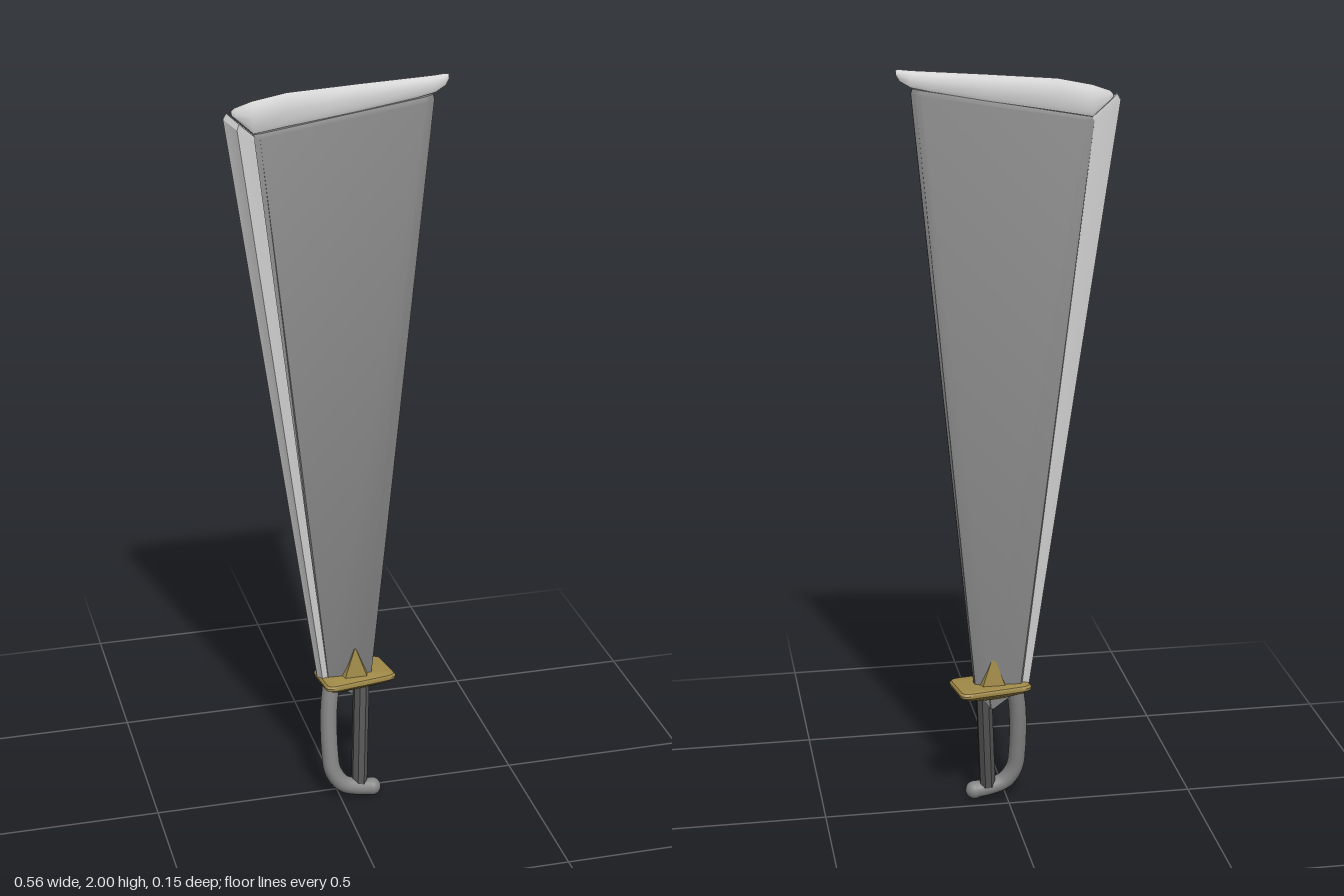
import * as THREE from 'three';
import { toCreasedNormals } from 'three/addons/utils/BufferGeometryUtils.js';

const lerp = THREE.MathUtils.lerp;

// Joins equal-length rings of [x, y, z] points into a closed, outward-facing solid
function loft(rings, crease = 0.6) {
  const n = rings[0].length, pos = rings.flat(2), idx = [];
  for (let i = 0; i < rings.length - 1; i++)
    for (let j = 0; j < n; j++) {
      const a = i * n + j, b = i * n + (j + 1) % n;
      idx.push(a, b, b + n, a, b + n, a + n);
    }
  const e = (rings.length - 1) * n;
  for (let j = 1; j < n - 1; j++) idx.push(0, j + 1, j, e, e + j, e + j + 1);

  // Turn the faces over if the enclosed volume is negative
  const p = idx.map(k => new THREE.Vector3().fromArray(pos, k * 3));
  let volume = 0;
  for (let k = 0; k < p.length; k += 3) volume += p[k].dot(p[k + 1].clone().cross(p[k + 2]));
  if (volume < 0) idx.reverse();

  const g = new THREE.BufferGeometry();
  g.setAttribute('position', new THREE.Float32BufferAttribute(pos, 3));
  g.setIndex(idx);
  return toCreasedNormals(g, crease);
}

export function createModel() {
  const group = new THREE.Group();
  const steel = new THREE.MeshStandardMaterial({ color: 0x858585 });
  const bright = new THREE.MeshStandardMaterial({ color: 0xcccccc });
  const dark = new THREE.MeshStandardMaterial({ color: 0x555555 });
  const gold = new THREE.MeshStandardMaterial({ color: 0xa08a48 });
  const add = (name, geometry, material) => {
    const mesh = new THREE.Mesh(geometry, material);
    mesh.name = name;
    group.add(mesh);
    return mesh;
  };

  // Blade: slanted sections from the point under the guard to the wide top
  const bladeRing = (xl, yl, xr, yr, bevel, zc, h) => [
    [0, -0.7], [0, 0.7], [0.04, 1], [bevel, 1], [0.98, 0.65], [1, 0.2],
    [1, -0.2], [0.98, -0.65], [bevel, -1], [0.04, -1],
  ].map(([u, w]) => {
    const x = lerp(xl, xr, u);
    return [x, lerp(yl, yr, u), 0.05 * x + zc + w * h];
  });
  add('blade', loft([
    bladeRing(0.045, 0.295, 0.055, 0.295, 0.7, -0.014, 0.01),
    bladeRing(-0.03, 0.35, 0.095, 0.35, 0.7, -0.005, 0.022),
    bladeRing(-0.211, 1.865, 0.244, 1.94, 0.95, -0.002, 0.018),
    bladeRing(-0.205, 1.876, 0.24, 1.952, 0.95, -0.002, 0.014),
  ]), steel);

  // Cutting edge: long wedge along the blade's right side
  const edgeRing = (xo, yo, xi, yi, zc, s) => [
    [0, -0.019], [-0.03, -0.009], [0.38, 0.018], [1, 0.017], [1, -0.02], [0.4, -0.021],
  ].map(([u, z]) => [lerp(xo, xi, u), lerp(yo, yi, u), zc + z * s]);
  add('cuttingEdge', loft([
    edgeRing(-0.05, 0.35, -0.026, 0.35, 0, 0.85),
    edgeRing(-0.278, 1.915, -0.207, 1.86, -0.002, 1),
    edgeRing(-0.27, 1.93, -0.207, 1.874, -0.002, 0.9),
  ], 0.4), bright);

  // Top edge: rounded strip, [x, lower y, upper y, half thickness]
  const strip = [
    [-0.258, 1.923, 1.932, 0.006], [-0.25, 1.916, 1.94, 0.011], [-0.206, 1.877, 1.955, 0.015],
    [-0.12, 1.892, 1.972, 0.016], [0.06, 1.921, 1.985, 0.016], [0.2, 1.946, 1.994, 0.014],
    [0.245, 1.956, 1.997, 0.012], [0.272, 1.972, 2, 0.009], [0.281, 1.986, 1.999, 0.004],
  ];
  const section = [[0, -0.8], [0, 0.8], [0.15, 1], [0.5, 0.85], [0.85, 0.5], [1, 0],
    [0.85, -0.5], [0.5, -0.85], [0.15, -1]];
  add('topEdge', loft(strip.map(([x, y0, y1, h]) =>
    section.map(([v, w]) => [x, lerp(y0, y1, v), -0.007 + 0.053 * x + w * h])), 0.9), bright);

  // Guard: skewed plate with rounded corners, narrowing underneath
  const corners = [[-0.057, -0.045], [0.138, -0.08], [0.16, 0.042], [-0.042, 0.074]]
    .map(c => new THREE.Vector2(...c));
  const outline = [];
  corners.forEach((c, i) => {
    const a = c.clone().lerp(corners[(i + 3) % 4], 0.14);
    const b = c.clone().lerp(corners[(i + 1) % 4], 0.14);
    outline.push(...new THREE.QuadraticBezierCurve(a, c, b).getPoints(5));
  });
  const guardRing = (y, s) => outline.map(p => [0.05 + (p.x - 0.05) * s, y, p.y * s]);
  add('guard', loft([guardRing(0.326, 0.45), guardRing(0.342, 0.85), guardRing(0.351, 0.99),
    guardRing(0.358, 1), guardRing(0.364, 0.95), guardRing(0.366, 0.85)]), gold);

  // Pointed tangs on both faces of the blade
  for (const s of [1, -1]) {
    const base = [[0.003, 0.36, 0], [0.089, 0.36, 0], [0.078, 0.36, s * 0.034], [0.014, 0.36, s * 0.034]];
    const tip = [[0.044, 0.445, 0], [0.048, 0.445, 0], [0.048, 0.445, s * 0.023], [0.044, 0.445, s * 0.023]];
    add(s > 0 ? 'frontTang' : 'backTang', loft([base, tip], 0.2), gold);
  }

  // Grip: octagonal bar leaning forward at the bottom
  const gripRing = (x, y, z) => Array.from({ length: 8 }, (_, i) => {
    const a = (i + 0.5) * Math.PI / 4;
    return [x + 0.022 * Math.cos(a), y, z + 0.023 * Math.sin(a)];
  });
  add('grip', loft([gripRing(0.052, 0.04, 0.046), gripRing(0.068, 0.345, 0.004)], 0.4), dark);

  // Knuckle bow: bent tube with a round end under the grip
  const path = new THREE.CatmullRomCurve3([
    [-0.016, 0.345, 0.005], [-0.026, 0.27, 0.016], [-0.028, 0.15, 0.034], [-0.021, 0.09, 0.043],
    [0.005, 0.05, 0.048], [0.045, 0.035, 0.049], [0.088, 0.028, 0.048],
  ].map(p => new THREE.Vector3(...p)));
  add('knuckleBow', new THREE.TubeGeometry(path, 40, 0.0235, 14), steel);
  add('knuckleBowEnd', new THREE.SphereGeometry(0.0245, 16, 12), steel).position.set(0.088, 0.028, 0.048);

  return group;
}
